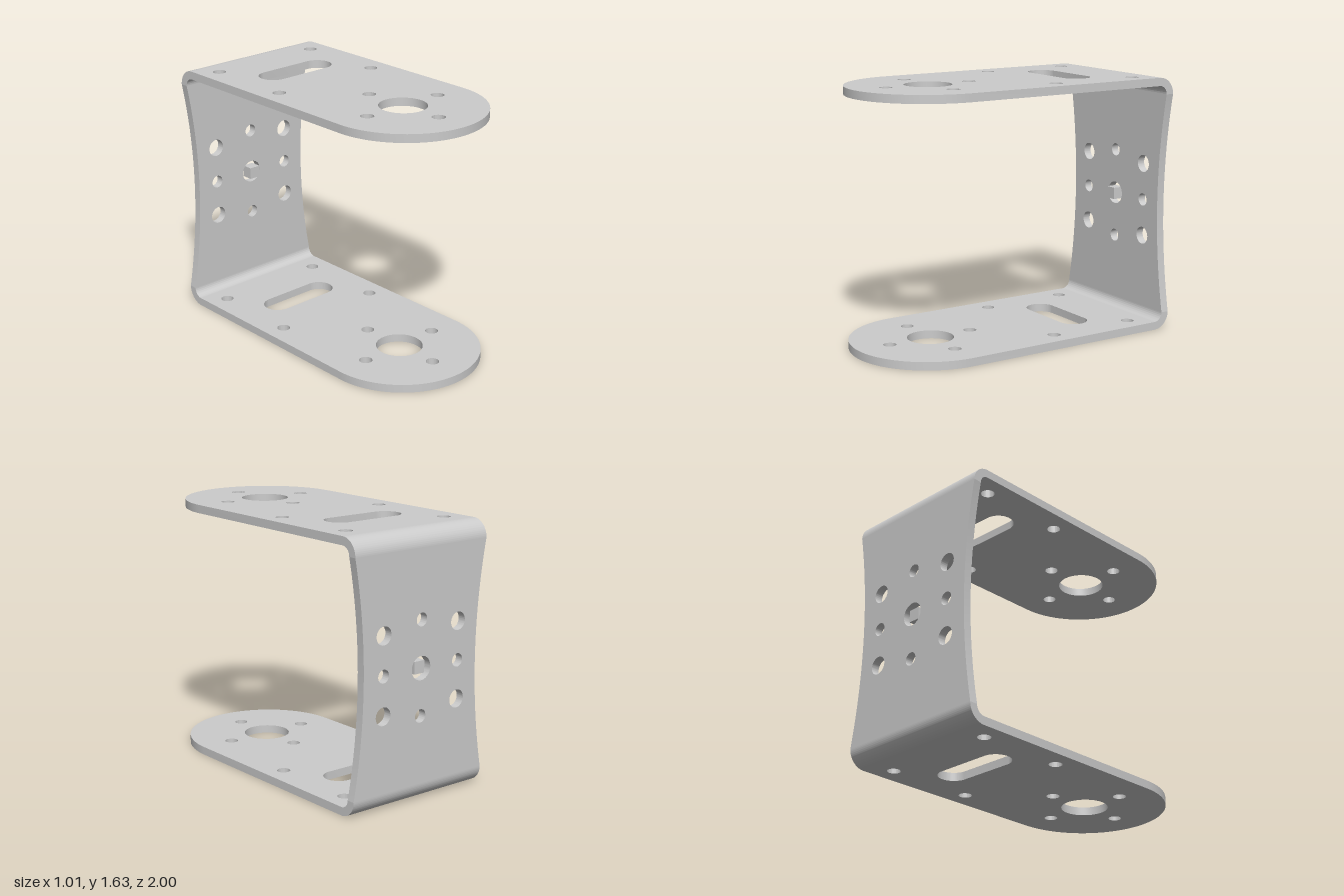
import * as THREE from 'three';
import { toCreasedNormals } from 'three/addons/utils/BufferGeometryUtils.js';

const W = 0.507;      // half width
const H = 1.635;      // total height
const T = 0.052;      // sheet thickness
const R = 0.108;      // outer bend radius
const MID = H / 2;

const material = new THREE.MeshStandardMaterial({ color: 0xcccccc });

function extrude(shape, depth) {
  const geo = new THREE.ExtrudeGeometry(shape, { depth, bevelEnabled: false, curveSegments: 32 });
  return toCreasedNormals(geo, 0.5);
}

function addMesh(group, name, geometry) {
  const mesh = new THREE.Mesh(geometry, material);
  mesh.name = name;
  group.add(mesh);
  return mesh;
}

function addHoles(shape, list) {
  for (const [x, y, r] of list) {
    const hole = new THREE.Path();
    hole.absarc(x, y, r, 0, Math.PI * 2, true);
    shape.holes.push(hole);
  }
}

// Round-ended arm, drawn in x and z
function armGeometry() {
  const s = new THREE.Shape();
  s.moveTo(-W, -1 + R);
  s.lineTo(W, -1 + R);
  s.lineTo(W, 1 - W);
  s.absarc(0, 1 - W, W, 0, Math.PI, false);
  s.closePath();

  const c = 0.49;
  addHoles(s, [
    [0, c, 0.147],
    [0.29, c, 0.041], [-0.29, c, 0.041], [0, c - 0.29, 0.041], [0, c + 0.29, 0.041],
    [0.38, -0.767, 0.041], [-0.38, -0.767, 0.041], [0.38, -0.185, 0.041], [-0.38, -0.185, 0.041],
  ]);

  // Long slot
  const slot = new THREE.Path();
  slot.absarc(0.18, -0.475, 0.094, Math.PI / 2, -Math.PI / 2, true);
  slot.absarc(-0.18, -0.475, 0.094, -Math.PI / 2, -Math.PI * 1.5, true);
  slot.closePath();
  s.holes.push(slot);

  return extrude(s, T).rotateX(Math.PI / 2);
}

// Back plate with waisted sides, drawn in x and y
function backGeometry() {
  const s = new THREE.Shape();
  const control = 0.37;
  s.moveTo(-W, R);
  s.lineTo(W, R);
  s.quadraticCurveTo(control, MID, W, H - R);
  s.lineTo(-W, H - R);
  s.quadraticCurveTo(-control, MID, -W, R);

  addHoles(s, [[0, MID, 0.073], [0, MID + 0.29, 0.041], [0, MID - 0.29, 0.041]]);
  for (const side of [-0.29, 0.29]) {
    addHoles(s, [[side, MID, 0.041], [side, MID + 0.238, 0.056], [side, MID - 0.238, 0.056]]);
  }
  return extrude(s, T).translate(0, 0, -1);
}

// Quarter bend, drawn in z and y and swept across the width
function bendGeometry(centerY, start) {
  const s = new THREE.Shape();
  const end = start + Math.PI / 2;
  s.absarc(-1 + R, centerY, R, start, end, false);
  s.absarc(-1 + R, centerY, R - T, end, start, true);
  s.closePath();
  return extrude(s, W * 2).rotateY(-Math.PI / 2).translate(W, 0, 0);
}

export function createModel() {
  const group = new THREE.Group();
  group.name = 'bracket';

  addMesh(group, 'lowerArm', armGeometry()).position.y = T;
  addMesh(group, 'upperArm', armGeometry()).position.y = H;
  addMesh(group, 'backPlate', backGeometry());
  addMesh(group, 'lowerBend', bendGeometry(R, Math.PI));
  addMesh(group, 'upperBend', bendGeometry(H - R, Math.PI / 2));

  // Small cube floating in the central hole
  addMesh(group, 'centerCube', new THREE.BoxGeometry(0.076, 0.076, 0.076))
    .position.set(0, MID + 0.002, -0.948);

  return group;
}
